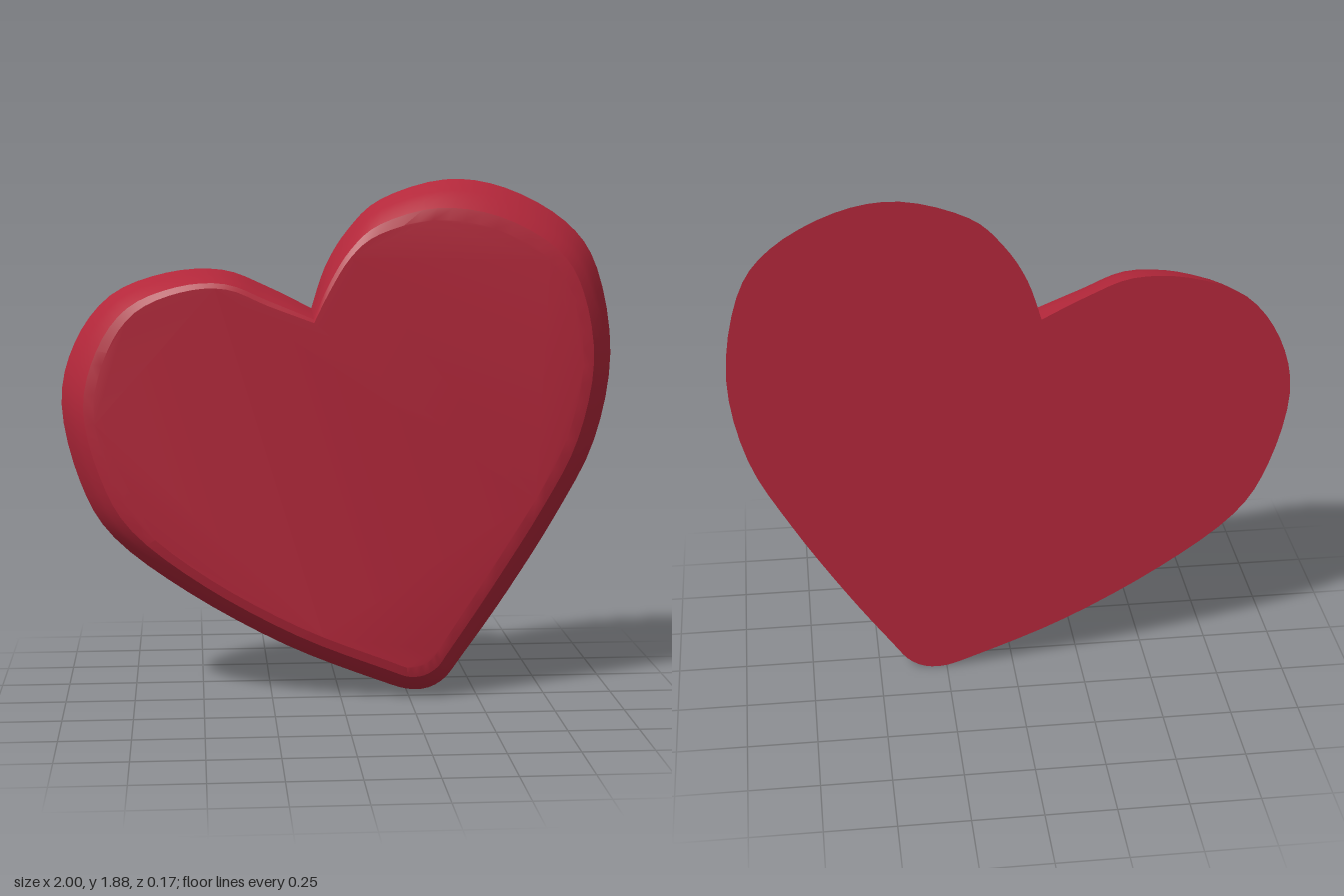
import * as THREE from 'three';
import { mergeGeometries, toCreasedNormals } from 'three/addons/utils/BufferGeometryUtils.js';

// Matching points of the back outline and the front face outline, clockwise from the notch:
// [back x, back y, front x, front y]
const OUTLINE = [
  [-0.10, 1.42, -0.10, 1.38], [-0.05, 1.57, -0.045, 1.49], [0.03, 1.70, 0.03, 1.61],
  [0.15, 1.81, 0.13, 1.69], [0.38, 1.88, 0.32, 1.74], [0.60, 1.85, 0.54, 1.71],
  [0.82, 1.73, 0.74, 1.60], [0.94, 1.56, 0.83, 1.45], [0.995, 1.25, 0.865, 1.22],
  [0.94, 0.93, 0.81, 0.96], [0.80, 0.65, 0.70, 0.74], [0.62, 0.36, 0.52, 0.45],
  [0.46, 0.13, 0.37, 0.22], [0.38, 0.03, 0.32, 0.15], [0.28, 0.00, 0.25, 0.125],
  [0.14, 0.04, 0.16, 0.155], [-0.20, 0.18, -0.15, 0.28], [-0.55, 0.38, -0.47, 0.46],
  [-0.82, 0.59, -0.72, 0.66], [-0.94, 0.80, -0.83, 0.86], [-1.00, 1.08, -0.88, 1.08],
  [-0.95, 1.30, -0.83, 1.28], [-0.82, 1.47, -0.73, 1.42], [-0.62, 1.55, -0.57, 1.49],
  [-0.42, 1.56, -0.41, 1.50], [-0.26, 1.50, -0.26, 1.44],
];

// Rounded edge: [how far from back outline to front outline, z]
const BEVEL = [[0, -0.083], [0.28, 0], [0.45, 0.035], [0.7, 0.072], [1, 0.083]];
const STEPS = 4;

// Open spline through the outline, starting and ending at the sharp notch
function ring(t) {
  const pts = OUTLINE.map(([x, y, u, v]) => new THREE.Vector2(x + (u - x) * t, y + (v - y) * t));
  pts.push(pts[0].clone());
  return new THREE.SplineCurve(pts).getPoints(OUTLINE.length * STEPS);
}

// Flat cap filling one outline
function cap(t, z, flip) {
  const geo = new THREE.ShapeGeometry(new THREE.Shape(ring(t).slice(0, -1)));
  geo.translate(0, 0, z);
  if (flip) geo.index.array.reverse();
  const flat = geo.toNonIndexed();
  flat.deleteAttribute('uv');
  flat.deleteAttribute('normal');
  return flat;
}

// Bands joining the outlines from back to front
function bevelSides() {
  const rings = BEVEL.map(([t, z]) => ring(t).map((p) => [p.x, p.y, z]));
  const pos = [];
  for (let i = 0; i < rings.length - 1; i++) {
    for (let j = 0; j < rings[i].length - 1; j++) {
      const a = rings[i][j], b = rings[i][j + 1];
      const c = rings[i + 1][j], d = rings[i + 1][j + 1];
      pos.push(...a, ...c, ...b, ...b, ...c, ...d);
    }
  }
  const geo = new THREE.BufferGeometry();
  geo.setAttribute('position', new THREE.Float32BufferAttribute(pos, 3));
  return geo;
}

export function createModel() {
  const group = new THREE.Group();
  group.name = 'tiltedHeart';
  const geo = mergeGeometries([bevelSides(), cap(1, 0.083, false), cap(0, -0.083, true)]);
  const heart = new THREE.Mesh(
    toCreasedNormals(geo, 0.3),
    new THREE.MeshStandardMaterial({ color: 0xb3273a })
  );
  heart.name = 'heartBody';
  group.add(heart);
  return group;
}
